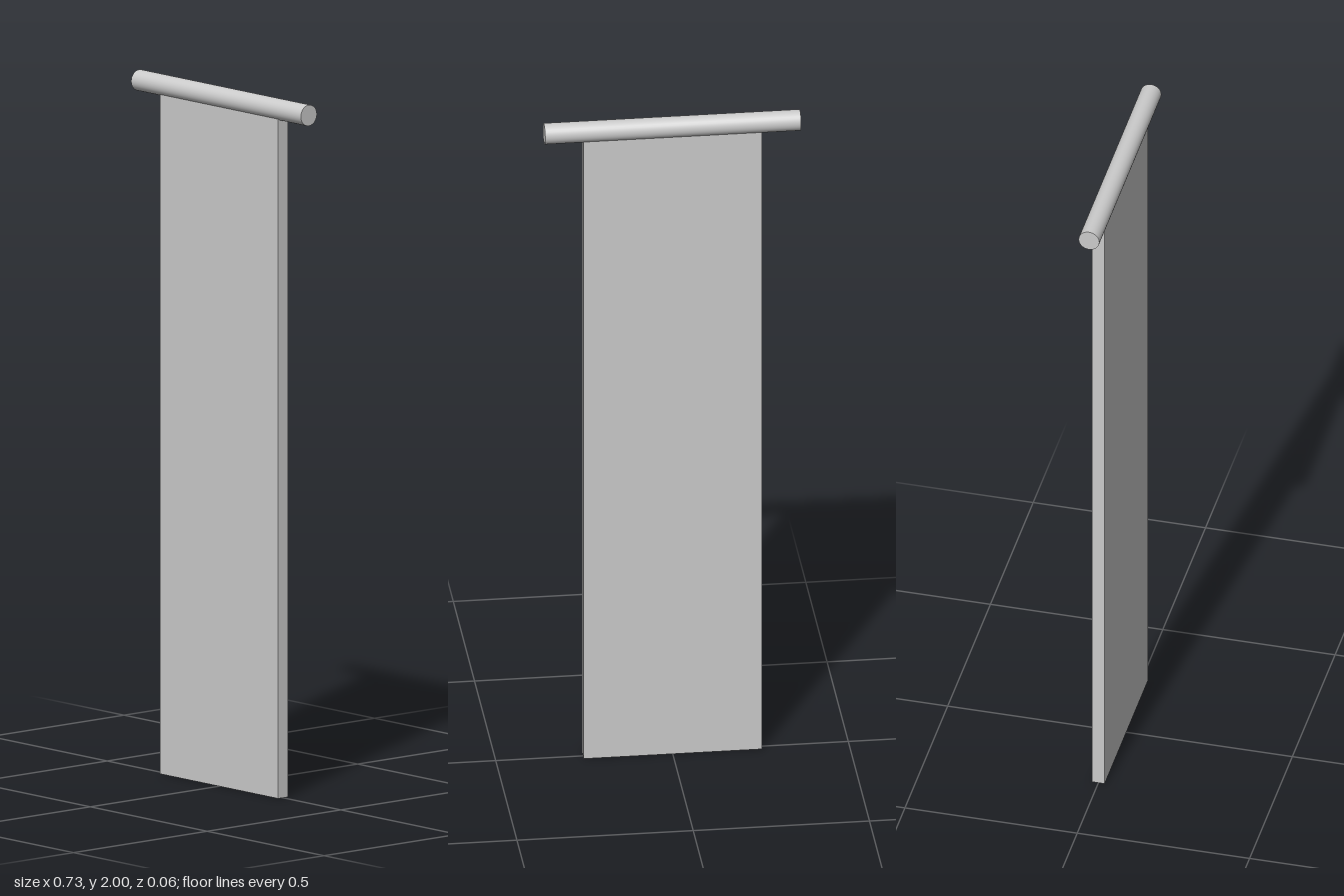
import * as THREE from 'three';

export function createModel() {
  const group = new THREE.Group();
  const material = new THREE.MeshStandardMaterial({ color: 0xcccccc });

  const add = (name, geometry, y) => {
    const mesh = new THREE.Mesh(geometry, material);
    mesh.name = name;
    mesh.position.y = y;
    group.add(mesh);
    return mesh;
  };

  // Flat hanging panel, its top edge tucked into the rod
  const panelHeight = 1.95;
  add('bannerPanel', new THREE.BoxGeometry(0.505, panelHeight, 0.036), panelHeight / 2);

  // Smooth horizontal rod across the top
  const rodRadius = 0.03;
  const rod = add('hangingRod', new THREE.CylinderGeometry(rodRadius, rodRadius, 0.726, 32), 2 - rodRadius);
  rod.rotation.z = Math.PI / 2;

  return group;
}
